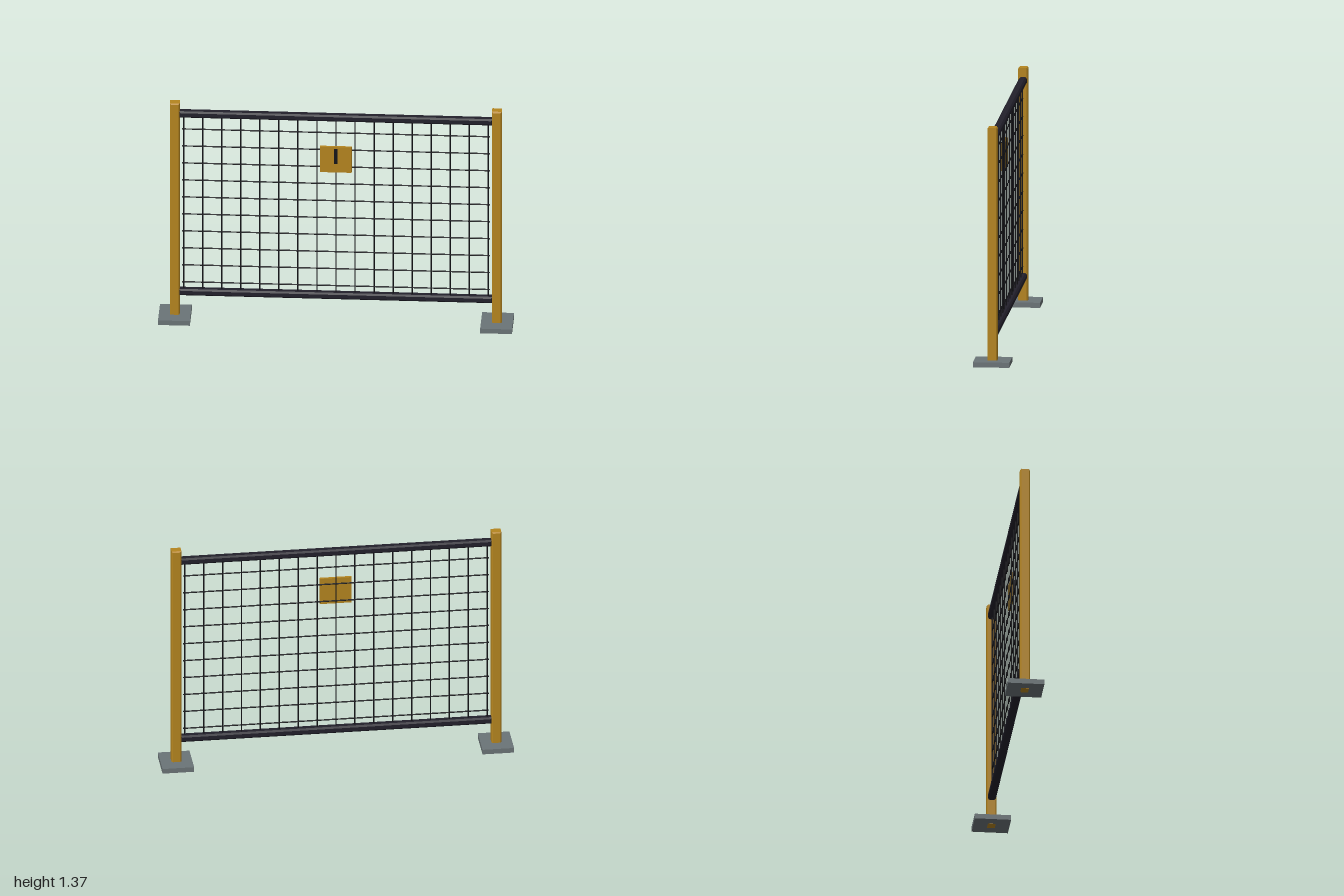
import * as THREE from 'three';

const mat = (name, color) => {
  const m = new THREE.MeshStandardMaterial({ color });
  m.name = name;
  return m;
};

// Box with flat chamfers on every edge, centred on the origin
function chamferBox(w, h, d, c) {
  const x = w / 2 - c, y = h / 2 - c;
  const shape = new THREE.Shape();
  shape.moveTo(-x, -y);
  shape.lineTo(x, -y);
  shape.lineTo(x, y);
  shape.lineTo(-x, y);
  shape.closePath();
  const geo = new THREE.ExtrudeGeometry(shape, {
    depth: d - 2 * c, bevelEnabled: true, bevelSize: c, bevelThickness: c, bevelSegments: 1,
  });
  return geo.translate(0, 0, -(d / 2 - c));
}

export function createModel() {
  const ochre = mat('ochre paint', 0xb5851f);
  const grey = mat('grey steel', 0x6b7477);
  const dark = mat('dark rail', 0x22202b);
  const black = mat('black wire', 0x141418);

  const model = new THREE.Group();
  model.name = 'fencePanel';
  const add = (parent, name, geo, material, x, y, z) => {
    const mesh = new THREE.Mesh(geo, material);
    mesh.name = name;
    mesh.position.set(x, y, z);
    parent.add(mesh);
    return mesh;
  };

  // Posts on foot plates
  const postGeo = chamferBox(0.056, 1.365, 0.056, 0.007);
  const footGeo = new THREE.BoxGeometry(0.18, 0.029, 0.206);
  for (const [side, s] of [['left', 1], ['right', -1]]) {
    add(model, side + 'Post', postGeo, ochre, s * 0.91, 0.6825, 0);
    add(model, side + 'FootPlate', footGeo, grey, s * 0.91, 0.0155, 0);
  }

  // Top and bottom rails
  const railGeo = chamferBox(1.772, 0.04, 0.045, 0.009);
  add(model, 'topRail', railGeo, dark, 0, 1.293, 0);
  add(model, 'bottomRail', railGeo, dark, 0, 0.168, 0);

  // Wire mesh
  const mesh = new THREE.Group();
  mesh.name = 'wireMesh';
  model.add(mesh);
  const pitch = 0.1075, r = 0.004;
  const upright = new THREE.CylinderGeometry(r, r, 1.11, 8);
  const crosswire = new THREE.CylinderGeometry(r, r, 1.738, 8).rotateZ(Math.PI / 2);
  for (let i = -8; i <= 8; i++) add(mesh, 'verticalWire', upright, black, i * pitch, 0.73, 0);
  for (let i = 0; i < 10; i++) add(mesh, 'horizontalWire', crosswire, black, 0, 0.227 + i * pitch, 0);

  // Sign plate with its dark bar
  add(model, 'signPlate', new THREE.BoxGeometry(0.18, 0.16, 0.015), ochre, 0, 1.037, 0.0195);
  add(model, 'signBar', new THREE.BoxGeometry(0.02, 0.09, 0.014), black, 0, 1.06, 0.031);

  return model;
}
